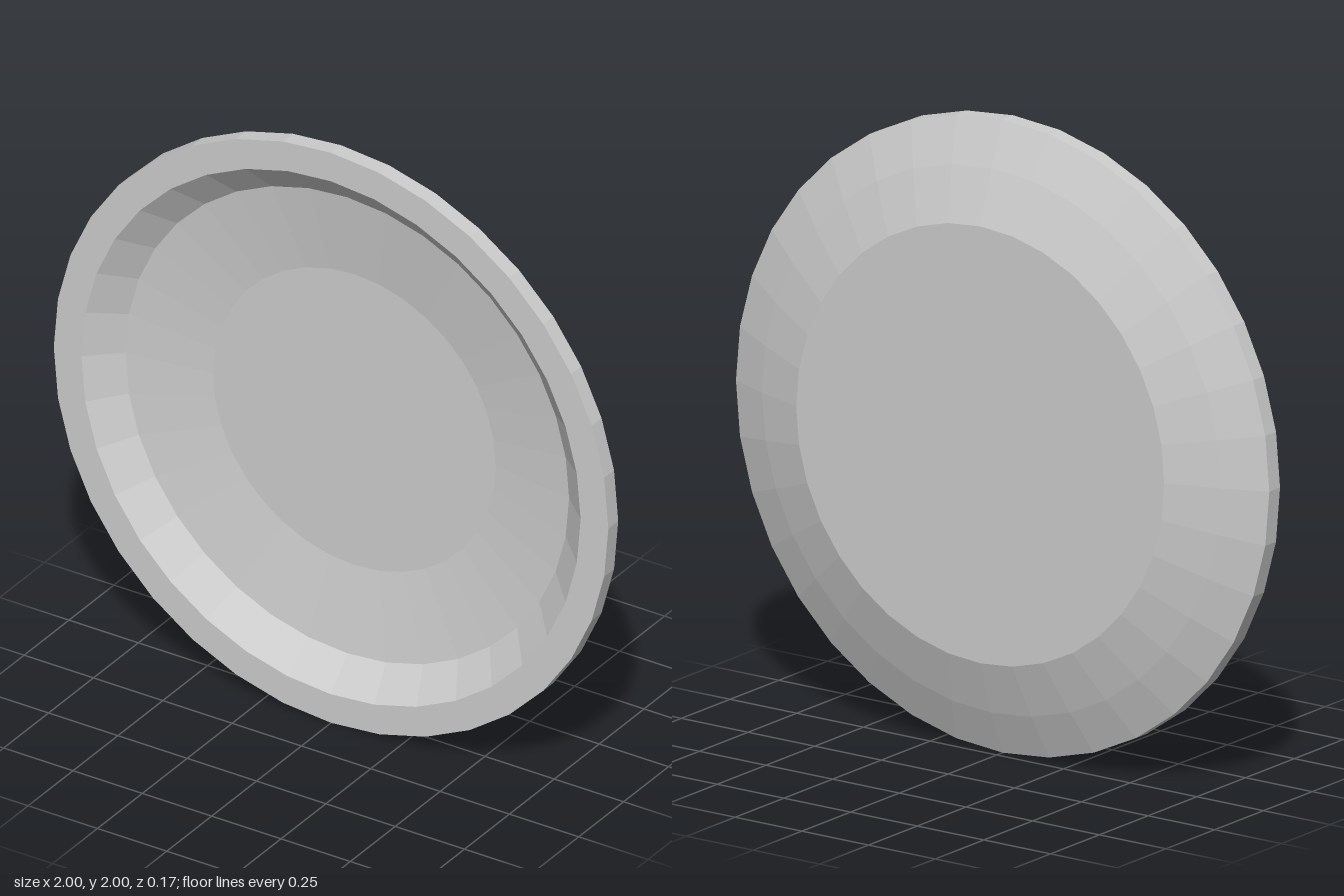
import * as THREE from 'three';

const SIDES = 36;

export function createModel() {
  const model = new THREE.Group();
  model.name = 'plate';

  const ceramic = new THREE.MeshStandardMaterial({ color: 0xcccccc });
  ceramic.name = 'pale grey ceramic';
  ceramic.flatShading = true;

  // Turns a profile of [radius, depth] points around the z axis
  const turn = (name, profile) => {
    const points = profile.map(([r, z]) => new THREE.Vector2(r, z));
    const geometry = new THREE.LatheGeometry(points, SIDES);
    geometry.rotateX(Math.PI / 2);
    const mesh = new THREE.Mesh(geometry, ceramic);
    mesh.name = name;
    mesh.position.y = 1;
    model.add(mesh);
  };

  // Flat foot and the two sloped bands of the underside
  turn('underside', [[0, -0.085], [0.69, -0.085], [0.86, -0.028], [1, 0.03]]);
  // Upright edge and flat front lip
  turn('rim', [[1, 0.03], [1, 0.085], [0.9, 0.085]]);
  // Steep inner wall, shallow slope and flat centre
  turn('dish', [[0.9, 0.085], [0.8, -0.005], [0.51, -0.045], [0, -0.045]]);

  return model;
}
